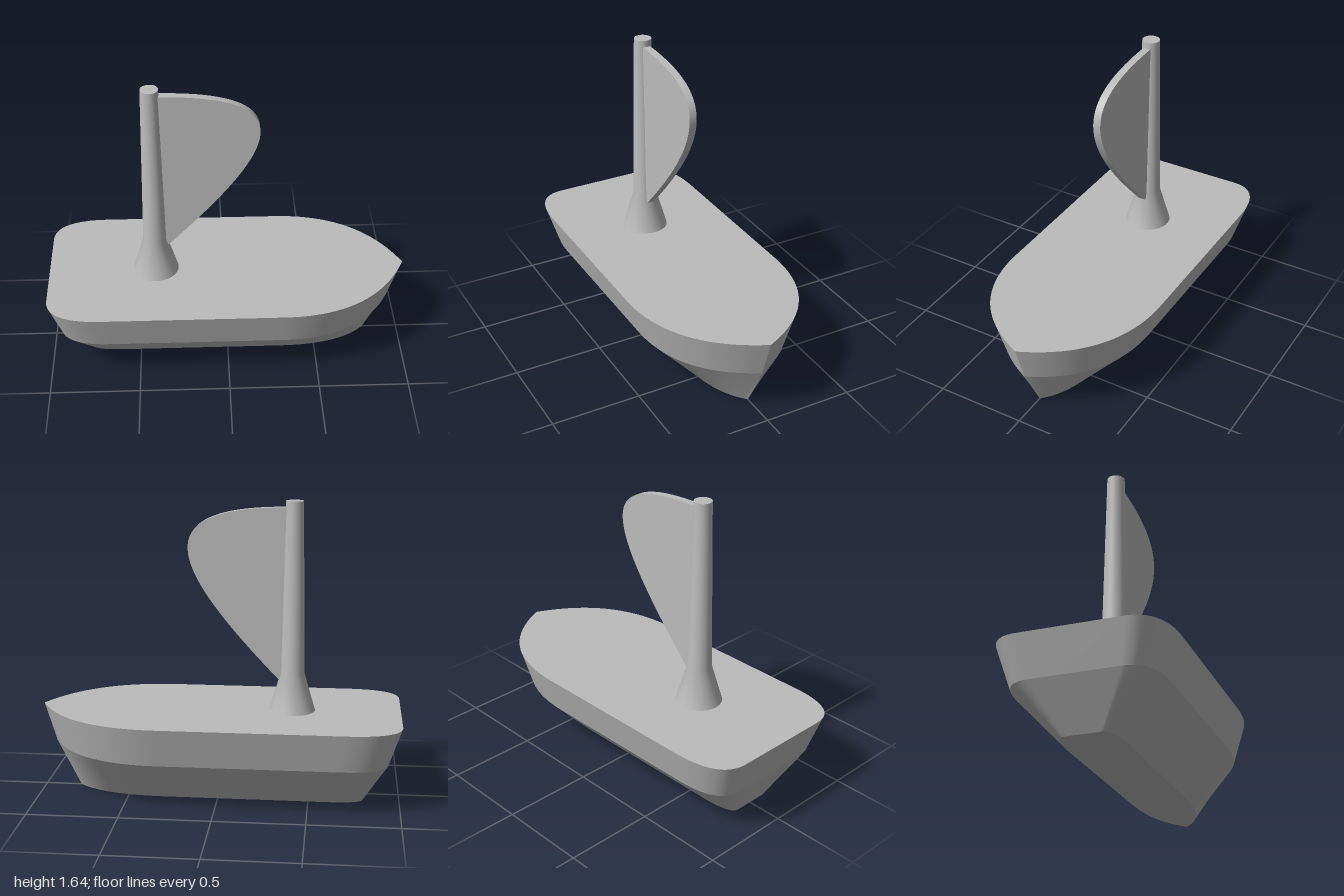
import * as THREE from 'three';
import { toCreasedNormals } from 'three/addons/utils/BufferGeometryUtils.js';

// Hull levels from keel to deck: height, bow/stern reach, half width, start of stern rounding
const LEVELS = [
  { y: 0, reach: 0.8, half: 0.155, corner: -0.6 },
  { y: 0.26, reach: 0.932, half: 0.398, corner: -0.66 },
  { y: 0.48, reach: 1, half: 0.463, corner: -0.69 },
];
const BOW_START = 0.3;

// Plan outline at one level, from the bow point round the stern and back
function outline({ reach, half, corner }) {
  const s = new THREE.Shape();
  s.moveTo(reach, 0);
  s.quadraticCurveTo(BOW_START + (reach - BOW_START) * 0.71, half, BOW_START, half);
  s.lineTo(corner, half);
  s.quadraticCurveTo(-reach, half, -reach, half * 0.6);
  s.lineTo(-reach, -half * 0.6);
  s.quadraticCurveTo(-reach, -half, corner, -half);
  s.lineTo(BOW_START, -half);
  s.quadraticCurveTo(BOW_START + (reach - BOW_START) * 0.71, -half, reach, 0);
  return s;
}

// Side band between two levels, smooth along its length and sharp at the bow
function band(lower, upper) {
  const rings = [lower, upper].map((l) => outline(l).getPoints(20).map((p) => [p.x, l.y, p.y]));
  const n = rings[0].length;
  const index = [];
  for (let i = 0; i < n - 1; i++) {
    index.push(i, n + i, i + 1, i + 1, n + i, n + i + 1);
  }
  const g = new THREE.BufferGeometry();
  g.setAttribute('position', new THREE.Float32BufferAttribute(rings.flat(2), 3));
  g.setIndex(index);
  g.computeVertexNormals();
  return g;
}

export function createModel() {
  const model = new THREE.Group();
  model.name = 'sailboat';
  const grey = new THREE.MeshStandardMaterial({ color: 0xbcbcbc });
  grey.name = 'light grey';

  const add = (name, geometry, parent = model) => {
    const mesh = new THREE.Mesh(geometry, grey);
    mesh.name = name;
    parent.add(mesh);
    return mesh;
  };

  // Hull
  const hull = new THREE.Group();
  hull.name = 'hull';
  model.add(hull);
  add('lowerSides', band(LEVELS[0], LEVELS[1]), hull);
  add('upperSides', band(LEVELS[1], LEVELS[2]), hull);
  add('deck', new THREE.ShapeGeometry(outline(LEVELS[2]), 20).rotateX(-Math.PI / 2), hull).position.y = LEVELS[2].y;
  add('bottom', new THREE.ShapeGeometry(outline(LEVELS[0]), 20).rotateX(Math.PI / 2), hull);

  // Mast with flared foot and flat top
  const mast = new THREE.Group();
  mast.name = 'mast';
  mast.position.x = -0.4;
  model.add(mast);
  const profile = [[0.127, 0.48], [0.066, 0.69], [0.048, 1.64]];
  add('mastPole', new THREE.LatheGeometry(profile.map(([r, y]) => new THREE.Vector2(r, y)), 48), mast);
  add('mastTop', new THREE.CircleGeometry(0.048, 48).rotateX(-Math.PI / 2), mast).position.y = 1.64;

  // Sail, with its inner edge set into the mast
  const sail = new THREE.Shape();
  sail.moveTo(-0.4, 1.605);
  sail.lineTo(-0.36, 1.605);
  sail.bezierCurveTo(0.4, 1.6, 0.3, 1.3, -0.33, 0.65);
  sail.lineTo(-0.4, 0.65);
  const sailGeometry = new THREE.ExtrudeGeometry(sail, { depth: 0.042, bevelEnabled: false, curveSegments: 40 });
  sailGeometry.translate(0, 0, -0.021);
  add('sail', toCreasedNormals(sailGeometry, 0.5));

  return model;
}
